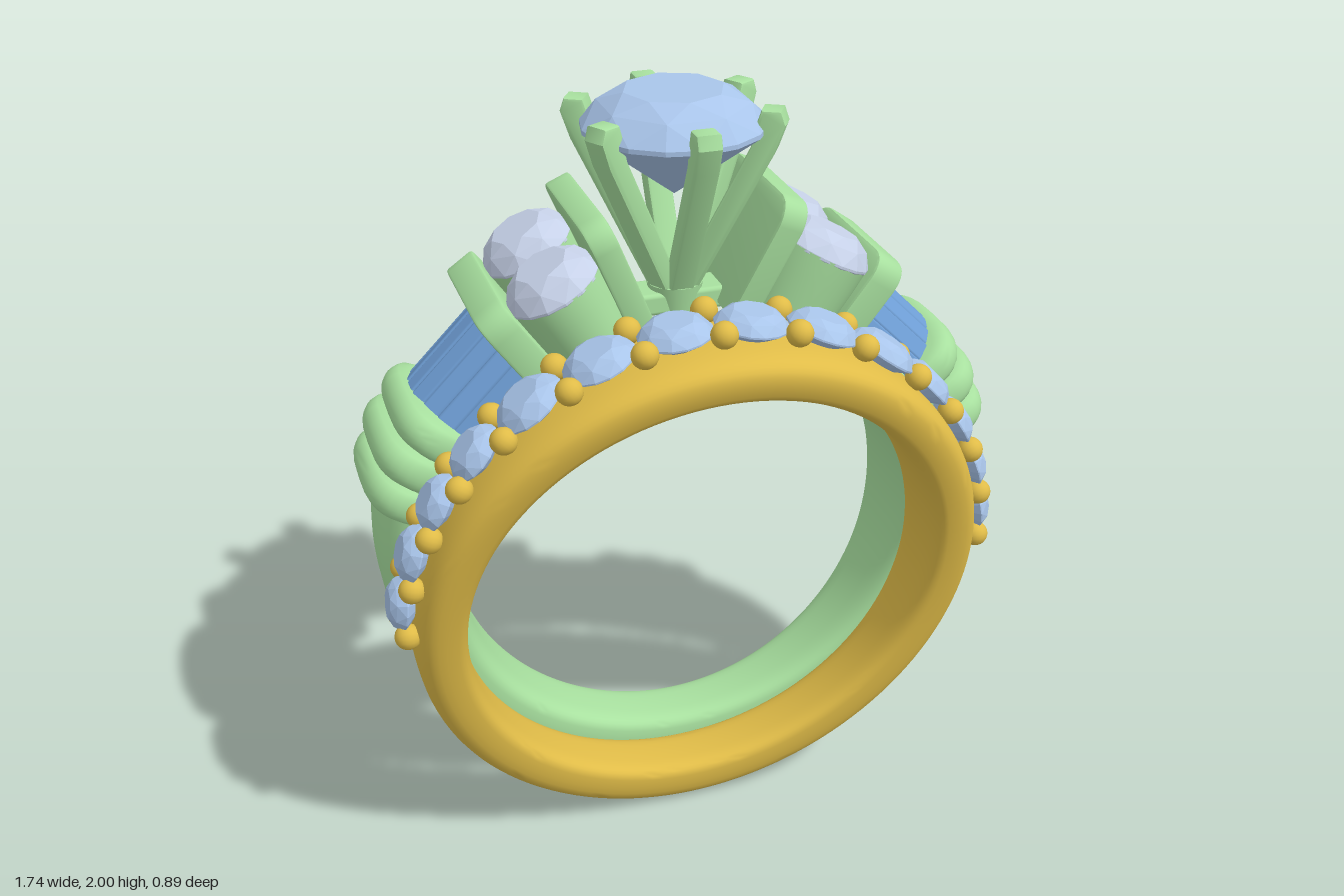
import * as THREE from 'three';
import { toCreasedNormals } from 'three/addons/utils/BufferGeometryUtils.js';
import { RoundedBoxGeometry } from 'three/addons/geometries/RoundedBoxGeometry.js';
import { ConvexGeometry } from 'three/addons/geometries/ConvexGeometry.js';

const rad = THREE.MathUtils.degToRad;
const mat = (color) => new THREE.MeshStandardMaterial({ color });
const CY = 0.76, CZ = -0.16; // centre of the wide ring

function add(parent, name, geo, material) {
  const m = new THREE.Mesh(geo, material);
  m.name = name;
  parent.add(m);
  return m;
}

// Sweep a rounded section around an arc; sec(angle) gives inner/outer radius and half width
function loft(a0, a1, n, cx, cy, sec, zAt, closed = false) {
  const pos = [], idx = [], M = 32;
  const pw = (v, e) => Math.sign(v) * Math.abs(v) ** e;
  for (let i = -1; i <= n + 1; i++) {
    const a = rad(a0 + (a1 - a0) * Math.min(Math.max(i, 0), n) / n);
    const { ri, ro, h } = sec(a);
    const k = !closed && (i < 0 || i > n) ? 0 : 1; // collapsed end rows form the caps
    for (let j = 0; j < M; j++) {
      const t = j / M * Math.PI * 2, c = Math.cos(t);
      const r = (ri + ro) / 2 + k * (ro - ri) / 2 * pw(c, c > 0 ? 0.75 : 0.45);
      const y = cy + r * Math.sin(a);
      pos.push(cx + r * Math.cos(a), y, zAt(y) + k * h * pw(Math.sin(t), 0.6));
    }
  }
  for (let i = 0; i < n + 2; i++) for (let j = 0; j < M; j++) {
    const p = i * M + j, q = i * M + (j + 1) % M;
    idx.push(p, p + M, q, q, p + M, q + M);
  }
  const g = new THREE.BufferGeometry();
  g.setAttribute('position', new THREE.Float32BufferAttribute(pos, 3));
  g.setIndex(idx);
  return toCreasedNormals(g, 0.75);
}

// Faceted round gem, girdle at y = 0
function gem(r, crown, depth) {
  const pts = [new THREE.Vector3(0, -depth, 0)];
  const ring = (n, k, y, off) => {
    for (let i = 0; i < n; i++) {
      const a = (i + off) / n * Math.PI * 2;
      pts.push(new THREE.Vector3(r * k * Math.cos(a), y, r * k * Math.sin(a)));
    }
  };
  ring(8, 0.55, crown, 0);
  ring(8, 0.82, crown * 0.62, 0.5);
  ring(16, 1, 0, 0);
  ring(16, 1, -0.05 * r, 0);
  ring(8, 0.5, -depth * 0.53, 0.5);
  return new ConvexGeometry(pts);
}

// Upright plate, wider at the top with rounded upper corners; top edge at y = 0, width along z
function plate(top, bottom, height, thick) {
  const s = new THREE.Shape(), c = 0.07, b = 0.008;
  s.moveTo(-bottom, -height);
  s.lineTo(bottom, -height);
  s.lineTo(top, -c);
  s.quadraticCurveTo(top, 0, top - c, 0);
  s.lineTo(c - top, 0);
  s.quadraticCurveTo(-top, 0, -top, -c);
  const g = new THREE.ExtrudeGeometry(s, { depth: thick - 2 * b, bevelSize: b, bevelThickness: b, bevelOffset: -b, bevelSegments: 2, curveSegments: 8 });
  return toCreasedNormals(g.translate(0, 0, b - thick / 2).rotateY(Math.PI / 2), 0.6);
}

export function createModel() {
  const root = new THREE.Group();
  const green = mat(0xa8e09f), gold = mat(0xe0bc48);
  const blue = mat(0xa9c5ea), pale = mat(0xc6d1e8), deep = mat(0x6f9fd6);

  // Wide ring: shank tapering toward the bottom
  const wide = new THREE.Group();
  wide.name = 'wideRing';
  root.add(wide);
  const flatZ = () => CZ;
  add(wide, 'shank', loft(-205, 25, 110, 0, CY, (a) => {
    const y = CY * (1 + Math.sin(a));
    return { ri: 0.63, ro: CY + 0.075 * (1 + Math.sin(a)), h: 0.092 + 0.108 * y };
  }, flatZ), green);

  // Shoulders, one on each side
  for (const s of [1, -1]) {
    const side = new THREE.Group();
    side.name = s > 0 ? 'leftShoulder' : 'rightShoulder';
    wide.add(side);
    const place = (m, x, y, tilt, z = CZ) => {
      m.position.set(s * x, y, z);
      m.rotation.z = -s * rad(tilt);
    };
    const arc = (name, from, to, n, sec) =>
      add(side, name, s > 0 ? loft(from, to, n, 0, CY, sec, flatZ) : loft(180 - to, 180 - from, n, 0, CY, sec, flatZ), green);

    arc('channelBase', 24, 55, 16, () => ({ ri: 0.631, ro: 0.77, h: 0.2 }));
    // Three raised collars
    for (let i = 0; i < 3; i++) {
      const from = 17 + i * 6.6, mid = rad(s > 0 ? from + 3.4 : 180 - from - 3.4);
      arc('collar', from, from + 6.8, 10, (a) => {
        const k = Math.sqrt(Math.max(0, 1 - ((a - mid) / rad(3.4)) ** 2));
        return { ri: 0.645, ro: 0.875 + 0.045 * k + (i === 1 ? 0.008 : 0), h: 0.195 + 0.02 * k };
      });
    }

    // Arched row of baguette stones
    const row = new THREE.Group();
    row.name = 'baguetteRow';
    side.add(row);
    place(row, 0.71 * Math.SQRT1_2, CY + 0.71 * Math.SQRT1_2, 45);
    for (let i = -4; i <= 4; i++) {
      const phi = rad(i * 18);
      const b = add(row, 'baguette', new RoundedBoxGeometry(0.27, 0.09, 0.057, 1, 0.008), deep);
      b.position.set(0, 0.125 * Math.cos(phi), 0.155 * Math.sin(phi));
      b.rotation.x = phi;
    }

    // Divider plates on either side of the round stones
    place(add(side, 'outerDivider', plate(0.215, 0.2, 0.26, 0.085), green), 0.535, 1.545, 35);
    place(add(side, 'innerDivider', plate(0.215, 0.16, 0.35, 0.07), green), 0.265, 1.74, 23);

    // Pierced floor under the round stones
    const f = new THREE.Shape();
    f.moveTo(-0.13, -0.2); f.lineTo(0.13, -0.2); f.lineTo(0.13, 0.2); f.lineTo(-0.13, 0.2);
    for (const z of [-0.115, 0.115]) f.holes.push(new THREE.Path().absarc(0, z, 0.045, 0, Math.PI * 2, true));
    const floor = new THREE.ExtrudeGeometry(f, { depth: 0.06, bevelEnabled: false, curveSegments: 16 }).rotateX(-Math.PI / 2);
    place(add(side, 'seatFloor', toCreasedNormals(floor, 0.6), green), 0.64 * Math.cos(rad(63)), CY + 0.64 * Math.sin(rad(63)), 27);

    // Hollow cups holding a pair of round stones
    const cup = toCreasedNormals(new THREE.LatheGeometry(
      [[0.05, -0.22], [0.1, -0.22], [0.122, -0.06], [0.128, 0.005], [0.118, 0.005], [0.05, -0.13], [0.05, -0.22]]
        .map((p) => new THREE.Vector2(...p)), 32), 0.6);
    const stone = gem(0.13, 0.06, 0.13);
    for (const z of [-0.133, 0.133]) {
      place(add(side, 'stoneCup', cup, green), 0.355, 1.575, 27, CZ + z);
      place(add(side, 'roundStone', stone, pale), 0.36, 1.58, 27, CZ + z);
    }
  }

  // Six-prong head with the centre stone
  const head = new THREE.Group();
  head.name = 'head';
  head.position.z = CZ;
  wide.add(head);
  add(head, 'bridge', new RoundedBoxGeometry(0.32, 0.06, 0.11, 2, 0.012), green).position.y = 1.445;
  add(head, 'headBase', new THREE.CylinderGeometry(0.075, 0.06, 0.08, 24), green).position.y = 1.45;
  const outline = [[-0.02, 1.43], [0.04, 1.43], [0.262, 1.86], [0.287, 1.93], [0.275, 1.965], [0.225, 1.965], [0.213, 1.93], [0.2, 1.87]];
  const prong = new THREE.ExtrudeGeometry(new THREE.Shape(outline.map((p) => new THREE.Vector2(...p))),
    { depth: 0.049, bevelSize: 0.008, bevelThickness: 0.008, bevelOffset: -0.008, bevelSegments: 2 }).translate(0, 0, -0.0245);
  const prongGeo = toCreasedNormals(prong, 0.5);
  for (let i = 0; i < 6; i++) add(head, 'prong', prongGeo, green).rotation.y = rad(30 + 60 * i);
  add(head, 'centreStone', gem(0.238, 0.085, 0.19), blue).position.y = 1.915;

  // Narrow leaning band
  const band = new THREE.Group();
  band.name = 'narrowRing';
  root.add(band);
  const BX = -0.045, BY = 0.765, lean = (y) => 0.05 + 0.15 * y;
  add(band, 'band', loft(0, 360, 128, BX, BY, (a) => {
    const k = (1 + Math.sin(a)) / 2;
    return { ri: 0.632, ro: 0.765, h: 0.09 + 0.085 * k ** 1.5 };
  }, lean, true), gold);

  // Graduated stones with bead pairs between them; angles measured from the top
  const half = [0, 14, 28, 42, 54, 65.5, 77, 88];
  const stops = [...half.slice(1).reverse().map((a) => -a), ...half];
  const bead = new THREE.SphereGeometry(0.034, 16, 12);
  const onBand = (m, deg, r, dz = 0) => {
    const a = rad(deg), y = BY + r * Math.cos(a);
    m.position.set(BX + r * Math.sin(a), y, lean(y) + dz);
    m.rotation.z = -a;
  };
  stops.forEach((deg, i) => {
    const r = 0.8 - 0.018 * Math.abs(deg) / 88, dz = 0.075 - 0.02 * Math.abs(deg) / 88;
    for (const s of [-1, 1]) onBand(add(band, 'bead', bead, gold), deg, r, s * dz);
    if (i === stops.length - 1) return;
    const next = stops[i + 1];
    const size = 0.79 * rad(next - deg) / 2 * 0.97;
    onBand(add(band, 'bandStone', gem(size, 0.036, 0.06), blue), (deg + next) / 2, 0.79);
  });
  return root;
}
